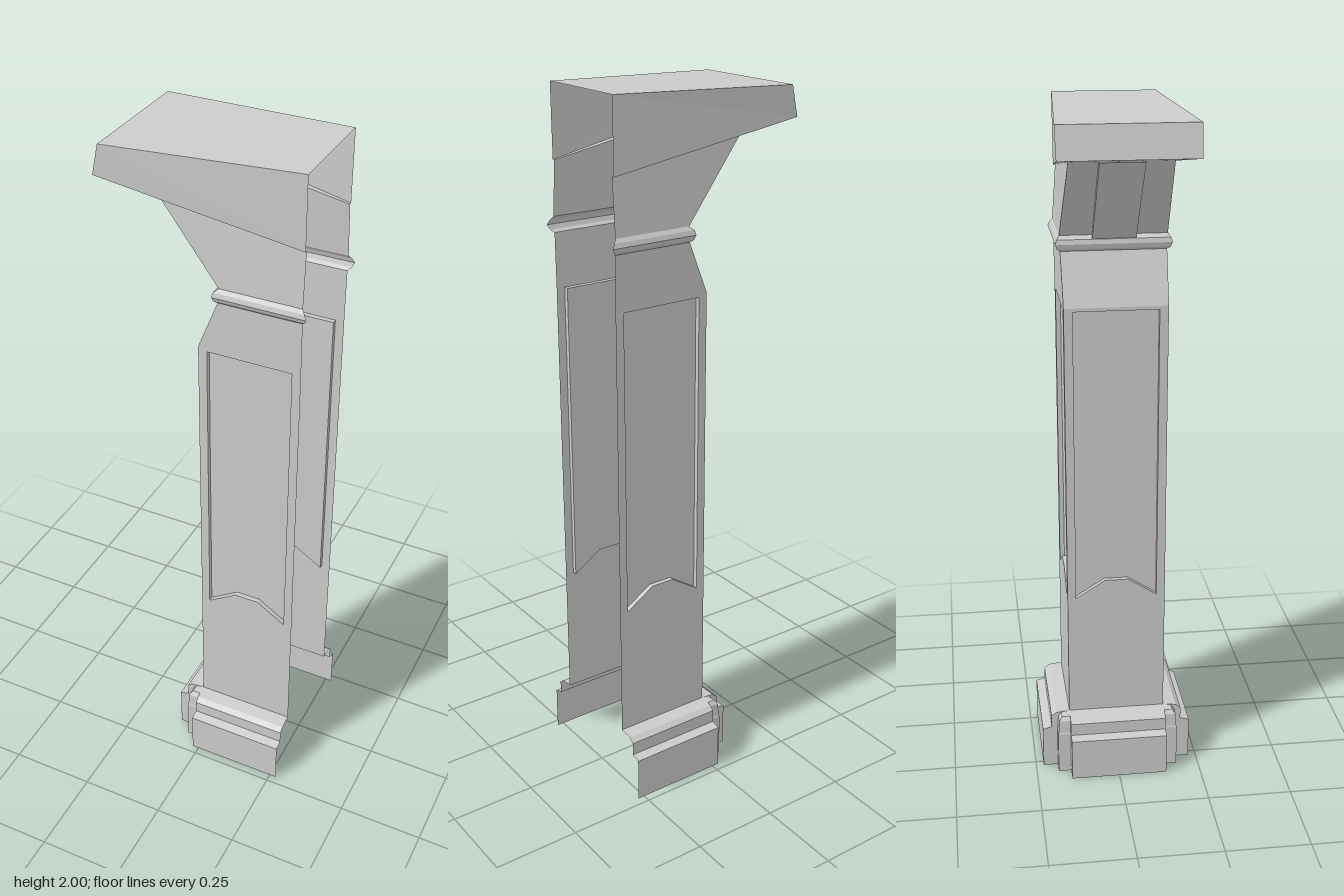
import * as THREE from 'three';

const material = new THREE.MeshStandardMaterial({ color: 0xcccccc, side: THREE.DoubleSide });
const OPEN = 0.27, SIDE = -0.02, HALF = 0.145; // open end, closed side, half depth of the shaft

function add(parent, name, geometry) {
  const mesh = new THREE.Mesh(geometry, material);
  mesh.name = name;
  parent.add(mesh);
  return mesh;
}

// Skin a stack of cross-sections (listed bottom to top) with crisp facets
function loft(rows) {
  const pos = [];
  for (let r = 0; r < rows.length - 1; r++) {
    for (let i = 0; i < rows[r].length - 1; i++) {
      const a = rows[r][i], b = rows[r][i + 1], c = rows[r + 1][i + 1], d = rows[r + 1][i];
      pos.push(...a, ...d, ...c, ...a, ...c, ...b);
    }
  }
  const g = new THREE.BufferGeometry();
  g.setAttribute('position', new THREE.Float32BufferAttribute(pos, 3));
  g.computeVertexNormals();
  return g;
}

// Complete half a section with its mirror image across z = 0
const mirrored = half => [...half, ...half.slice().reverse().map(([x, y, z]) => [x, y, -z])];

// Three-sided section, open towards +x
const section = (xOpen, yOpen, xSide, ySide, z) => mirrored([[xOpen, yOpen, z], [xSide, ySide, z]]);

// Shaft wall facing +z with a sunken panel whose lower edge is arched
function panelWall(name) {
  const wall = new THREE.Group();
  wall.name = name;
  const w = 0.145, p = 0.12, depth = 0.014;
  const outline = [[-p, 0.575], [-0.035, 0.63], [0.035, 0.63], [p, 0.575], [p, 1.45], [-p, 1.45]]
    .map(([x, y]) => new THREE.Vector2(x, y));
  const frame = new THREE.Shape([[-w, 0.19], [w, 0.19], [w, 1.46], [-w, 1.46]]
    .map(([x, y]) => new THREE.Vector2(x, y)));
  frame.holes.push(new THREE.Path(outline));
  add(wall, 'frame', new THREE.ShapeGeometry(frame));
  add(wall, 'sunkenPanel', new THREE.ShapeGeometry(new THREE.Shape(outline))).position.z = -depth;
  const loop = [...outline, outline[0]];
  add(wall, 'panelReveal', loft([0, -depth].map(z => loop.map(v => [v.x, v.y, z]))));
  return wall;
}

// Plinth section: projecting blocks (d) with smaller stepped corners (c)
function plinthSection(y, d, corner) {
  const c = Math.min(corner, d);
  return mirrored([
    [OPEN, y, HALF + d], [SIDE, y, HALF + d], [SIDE, y, HALF + c],
    [SIDE - c, y, HALF + c], [SIDE - c, y, HALF], [SIDE - d, y, HALF],
  ]);
}

export function createModel() {
  const model = new THREE.Group();
  model.name = 'halfPillar';

  // Plinth with a stepped, softened top
  add(model, 'plinth', loft([
    [0, 0.082, 0.038], [0.13, 0.082, 0.038], [0.137, 0.055, 0.036],
    [0.175, 0.055, 0.034], [0.187, 0.04, 0.025], [0.192, 0, 0],
  ].map(([y, d, c]) => plinthSection(y, d, c))));

  // Three panelled walls of the shaft
  const shaft = new THREE.Group();
  shaft.name = 'shaft';
  const centre = (OPEN + SIDE) / 2;
  const walls = [
    ['frontWall', centre, HALF, 0], ['backWall', centre, -HALF, Math.PI], ['sideWall', SIDE, 0, -Math.PI / 2],
  ];
  for (const [name, x, z, turn] of walls) {
    const wall = panelWall(name);
    wall.position.set(x, 0, z);
    wall.rotation.y = turn;
    shaft.add(wall);
  }
  model.add(shaft);

  // Sloping shoulder and moulded collar
  add(model, 'shoulder', loft([
    section(OPEN, 1.46, SIDE, 1.46, HALF), section(OPEN, 1.605, 0.038, 1.605, 0.147),
  ]));
  add(model, 'collar', loft([
    [1.605, OPEN, 0.038, 0.147], [1.612, 0.278, 0.031, 0.156], [1.625, 0.285, 0.027, 0.161],
    [1.638, 0.278, 0.03, 0.157], [1.648, OPEN, 0.042, 0.149],
  ].map(([y, xo, xs, z]) => section(xo, y, xs, y, z))));

  // Flaring neck with a raised central strip
  add(model, 'neck', loft([
    section(OPEN, 1.648, 0.042, 1.648, 0.149), section(OPEN, 1.8, -0.135, 1.873, 0.138),
  ]));
  add(model, 'neckStrip', loft([[0.042, 1.64, 0.026], [-0.135, 1.873, -0.153]].map(([back, y, face]) =>
    mirrored([[back, y, 0.06], [face, y, 0.06]]))));

  // Overhanging cap, widening away from the open end
  add(model, 'cap', loft([
    section(OPEN, 1.8, -0.135, 1.873, 0.136),
    section(OPEN, 1.8, -0.285, 1.9, 0.18),
    section(OPEN, 2, -0.265, 1.985, 0.182),
    section(OPEN, 2, -0.265, 1.985, 0),
  ].map((row, i) => row.map(([x, y, z]) =>
    [x, y, x === OPEN && i > 0 ? z * 0.8 : z]))));

  return model;
}
